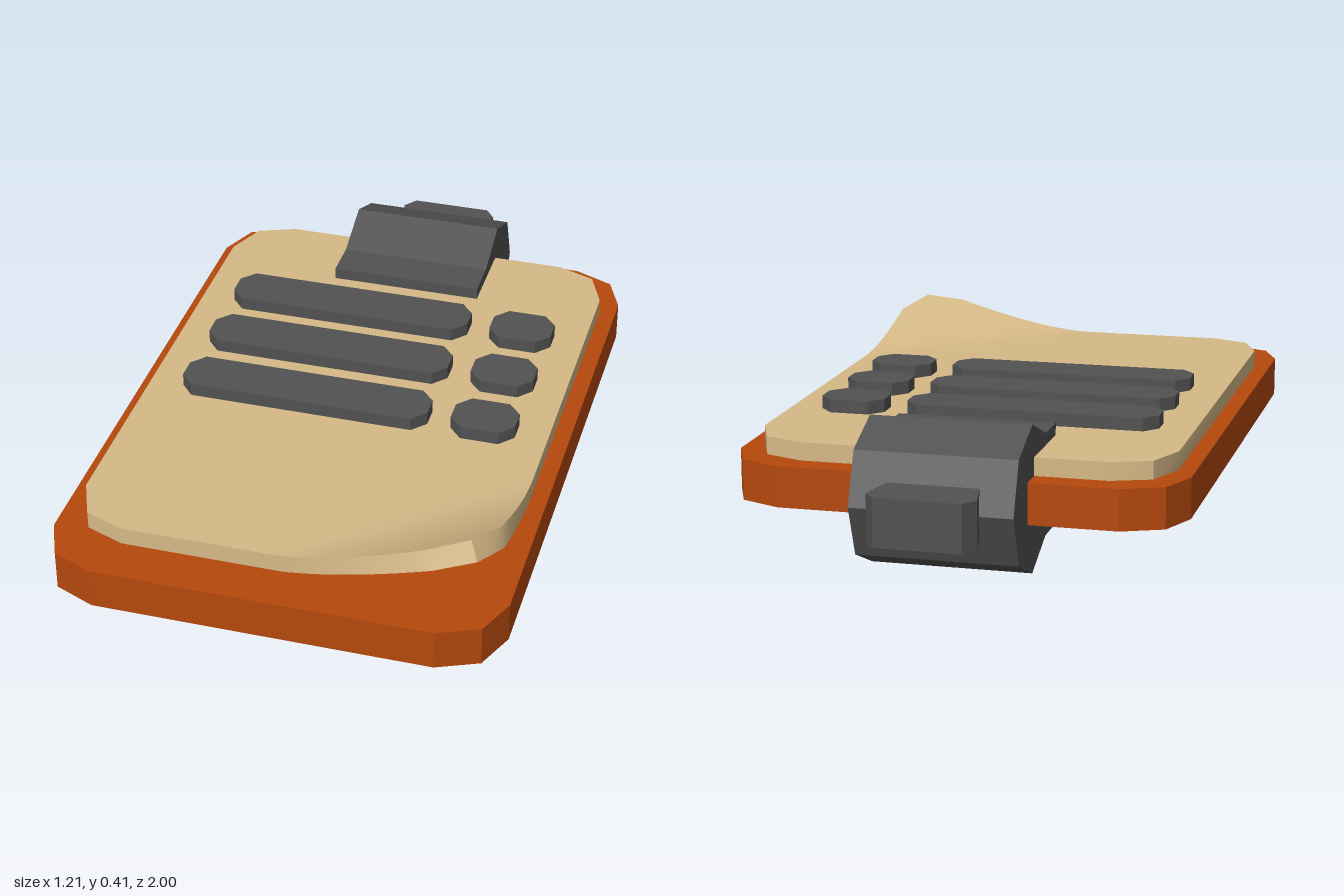
import * as THREE from 'three';
import { toCreasedNormals } from 'three/addons/utils/BufferGeometryUtils.js';

const mat = (name, color) => {
  const m = new THREE.MeshStandardMaterial({ color });
  m.name = name;
  return m;
};

// Flat plate from [x, z] outline points, extruded upwards from y0 to y1
function plate(points, y0, y1) {
  const shape = new THREE.Shape(points.map(([x, z]) => new THREE.Vector2(x, -z)));
  const geo = new THREE.ExtrudeGeometry(shape, { depth: y1 - y0, bevelEnabled: false });
  return geo.rotateX(-Math.PI / 2).translate(0, y0, 0);
}

// Rectangle outline with every corner cut; corner points are [inset x, inset z]
function cutRect(x0, x1, z0, z1, corner) {
  const back = [...corner].reverse();
  return [
    ...corner.map(([a, b]) => [x0 + a, z0 + b]),
    ...back.map(([a, b]) => [x1 - a, z0 + b]),
    ...corner.map(([a, b]) => [x1 - a, z1 - b]),
    ...back.map(([a, b]) => [x0 + a, z1 - b]),
  ];
}

// Sheet of paper: a box reshaped to a rounded outline with one curled corner
function paperGeometry() {
  const rows = [[-0.67, 0.41], [-0.63, 0.515], [-0.52, 0.56], [0.3, 0.56], [0.4, 0.56], [0.48, 0.56],
    [0.56, 0.56], [0.64, 0.56], [0.72, 0.56], [0.775, 0.538], [0.83, 0.515], [0.87, 0.41]];
  const n = rows.length - 1;
  const geo = new THREE.BoxGeometry(2, 1, 1, 20, 1, n);
  const p = geo.attributes.position;
  for (let i = 0; i < p.count; i++) {
    const [z, halfWidth] = rows[Math.round((p.getZ(i) + 0.5) * n)];
    const x = p.getX(i) * halfWidth;
    const top = p.getY(i) > 0;
    const t = Math.max(0, x / 0.56 + (z - 0.4) / 0.47 - 1);
    const lift = 0.106 * Math.pow(t / 0.835, 1.5);
    const lean = top ? lift * 0.2 : 0;
    p.setXYZ(i, x - lean, (top ? 0.302 : 0.252) + lift, z - lean);
  }
  return toCreasedNormals(geo, 0.6);
}

export function createModel() {
  const model = new THREE.Group();
  model.name = 'clipboard';
  const orange = mat('burnt orange board', 0xb5480c);
  const tan = mat('tan paper', 0xd6b987);
  const grey = mat('dark grey', 0x525252);

  const add = (name, geo, material) => {
    const mesh = new THREE.Mesh(geo, material);
    mesh.name = name;
    model.add(mesh);
  };

  // Backing board and paper
  const boardCorner = [[0, 0.155], [0.045, 0.047], [0.155, 0]];
  add('board', plate(cutRect(-0.605, 0.605, -0.74, 1, boardCorner), 0.143, 0.253), orange);
  add('paper', paperGeometry(), tan);

  // Three written lines, each a long bar and a short one
  const barCorner = [[0, 0.04], [0.036, 0]];
  [-0.34, -0.113, 0.115].forEach((z, i) => {
    add(`longLine${i + 1}`, plate(cutRect(-0.465, 0.23, z, z + 0.14, barCorner), 0.29, 0.338), grey);
    add(`shortLine${i + 1}`, plate(cutRect(0.295, 0.472, z, z + 0.14, barCorner), 0.29, 0.338), grey);
  });

  // Clip: side profile in [z, y], extruded across x
  const profile = [[-0.433, 0.335], [-0.545, 0.335], [-0.688, 0.392], [-0.828, 0.335], [-0.882, 0.198],
    [-0.828, 0.06], [-0.688, 0], [-0.545, 0.06], [-0.433, 0.06]];
  const clipShape = new THREE.Shape(profile.map(([z, y]) => new THREE.Vector2(-z, y)));
  const clip = new THREE.ExtrudeGeometry(clipShape, { depth: 0.428, bevelEnabled: false });
  add('clip', clip.rotateY(Math.PI / 2).translate(-0.215, 0, 0), grey);

  // Tab behind the clip
  const tab = [[-0.115, -1], [0.112, -1], [0.14, -0.962], [0.115, -0.84], [-0.118, -0.84], [-0.144, -0.962]];
  add('clipTab', plate(tab, 0.135, 0.263), grey);

  return model;
}
